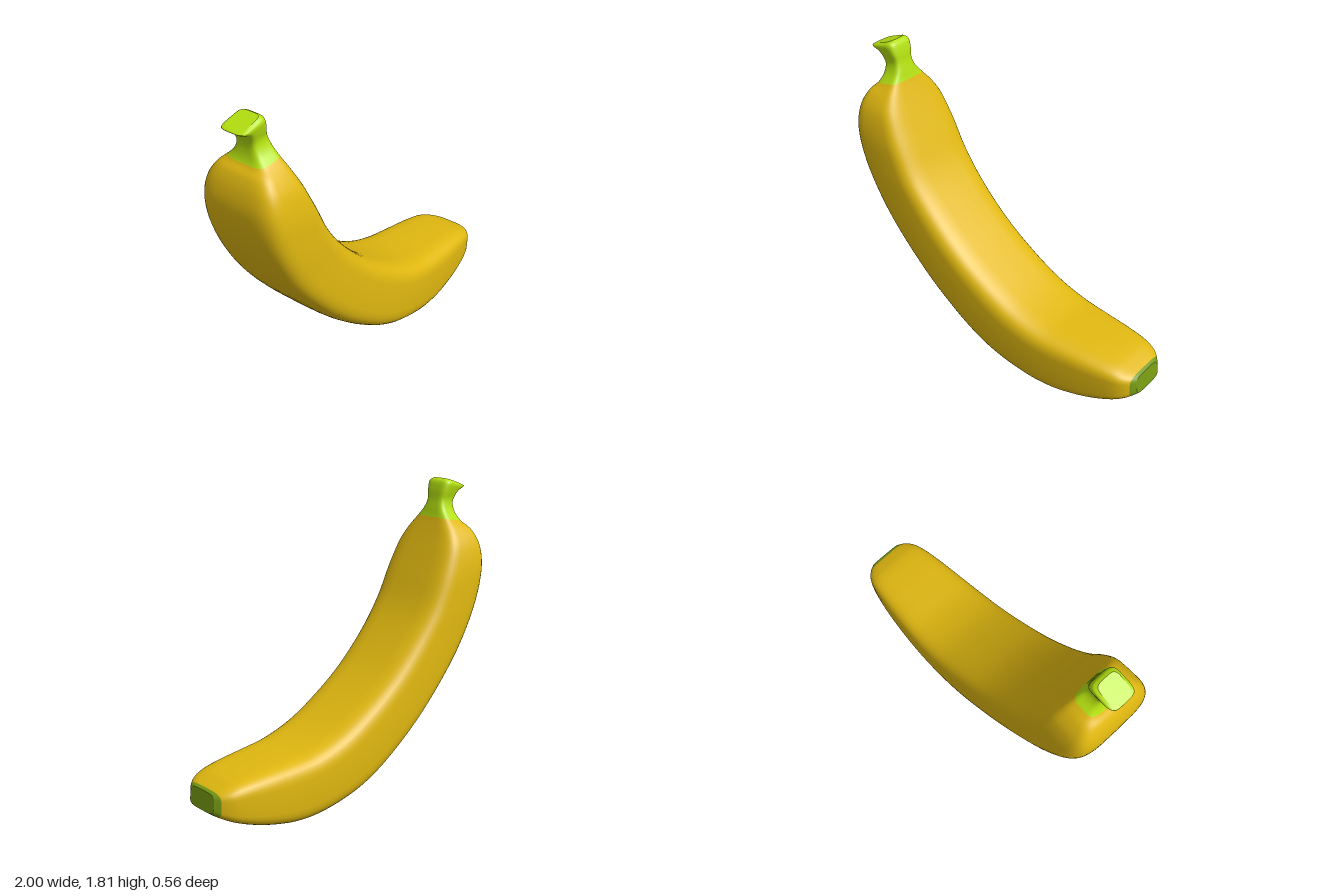
import * as THREE from 'three';

// Cross-sections from stem to tip: outer x, outer y, inner x, inner y, half width
const STATIONS = [
  [-0.965, 1.768, -0.83, 1.815, 0.068],
  [-0.98, 1.758, -0.805, 1.8, 0.085],
  [-0.925, 1.73, -0.788, 1.75, 0.08],
  [-0.893, 1.67, -0.778, 1.69, 0.068],
  [-0.893, 1.615, -0.765, 1.64, 0.085],
  [-0.91, 1.56, -0.75, 1.585, 0.13],
  [-0.95, 1.515, -0.72, 1.51, 0.19],
  [-0.983, 1.44, -0.68, 1.42, 0.24],
  [-1, 1.33, -0.61, 1.27, 0.27],
  [-0.97, 1.14, -0.51, 1.07, 0.28],
  [-0.83, 0.84, -0.38, 0.9, 0.28],
  [-0.6, 0.55, -0.19, 0.71, 0.28],
  [-0.34, 0.31, 0.01, 0.565, 0.28],
  [-0.04, 0.115, 0.2, 0.46, 0.278],
  [0.22, 0.03, 0.39, 0.4, 0.27],
  [0.45, 0.003, 0.56, 0.38, 0.255],
  [0.66, 0.035, 0.73, 0.363, 0.235],
  [0.82, 0.085, 0.865, 0.342, 0.21],
  [0.91, 0.125, 0.925, 0.32, 0.185],
  [0.97, 0.16, 0.965, 0.302, 0.145],
  [1, 0.182, 0.983, 0.292, 0.11],
];
const STEM_END = 5, TIP_START = 19;
const SIDES = 40, STEPS = 5, POWER = 4.4;

// Soft-cornered square section
const soft = (v) => Math.sign(v) * Math.pow(Math.abs(v), 2 / POWER);

export function createModel() {
  const curve = (k) => new THREE.CatmullRomCurve3(
    STATIONS.map((s) => new THREE.Vector3(s[k], s[k + 1], s[4])));
  const outer = curve(0), inner = curve(2);
  const rings = (STATIONS.length - 1) * STEPS;

  const positions = [];
  const addRing = (i) => {
    const start = positions.length / 3;
    const o = outer.getPoint(i / rings), n = inner.getPoint(i / rings);
    for (let j = 0; j < SIDES; j++) {
      const t = (j / SIDES) * Math.PI * 2;
      const k = (1 + soft(Math.cos(t))) / 2;
      positions.push(
        THREE.MathUtils.lerp(o.x, n.x, k),
        THREE.MathUtils.lerp(o.y, n.y, k),
        soft(Math.sin(t)) * o.z);
    }
    return start;
  };

  // Skin between neighbouring rings
  for (let i = 0; i <= rings; i++) addRing(i);
  const skin = (from, to) => {
    const index = [];
    for (let i = from; i < to; i++) {
      for (let j = 0; j < SIDES; j++) {
        const a = i * SIDES + j, b = i * SIDES + (j + 1) % SIDES;
        index.push(a, b, a + SIDES, b, b + SIDES, a + SIDES);
      }
    }
    return index;
  };

  // Flat end caps with their own crisp edge
  const cap = (ring, flip) => {
    const start = addRing(ring), index = [];
    const o = outer.getPoint(ring / rings), n = inner.getPoint(ring / rings);
    const centre = positions.length / 3;
    positions.push((o.x + n.x) / 2, (o.y + n.y) / 2, 0);
    for (let j = 0; j < SIDES; j++) {
      const a = start + j, b = start + (j + 1) % SIDES;
      index.push(centre, flip ? b : a, flip ? a : b);
    }
    return index;
  };

  const stem = [...skin(0, STEM_END * STEPS), ...cap(0, true)];
  const body = skin(STEM_END * STEPS, TIP_START * STEPS);
  const tip = [...skin(TIP_START * STEPS, rings), ...cap(rings, false)];

  // Shared normals keep the surface smooth across the colour seams
  const whole = new THREE.BufferGeometry();
  whole.setAttribute('position', new THREE.Float32BufferAttribute(positions, 3));
  whole.setIndex([...stem, ...body, ...tip]);
  whole.computeVertexNormals();

  const group = new THREE.Group();
  group.name = 'banana';
  const addPart = (name, index, colorName, color) => {
    const geometry = new THREE.BufferGeometry();
    geometry.setAttribute('position', whole.getAttribute('position'));
    geometry.setAttribute('normal', whole.getAttribute('normal'));
    geometry.setIndex(index);
    const material = new THREE.MeshStandardMaterial({ color });
    material.name = colorName;
    const mesh = new THREE.Mesh(geometry, material);
    mesh.name = name;
    group.add(mesh);
  };
  addPart('stem', stem, 'limeGreen', 0xb4e010);
  addPart('peel', body, 'bananaYellow', 0xe0b810);
  addPart('tip', tip, 'darkGreen', 0x779a14);
  return group;
}
